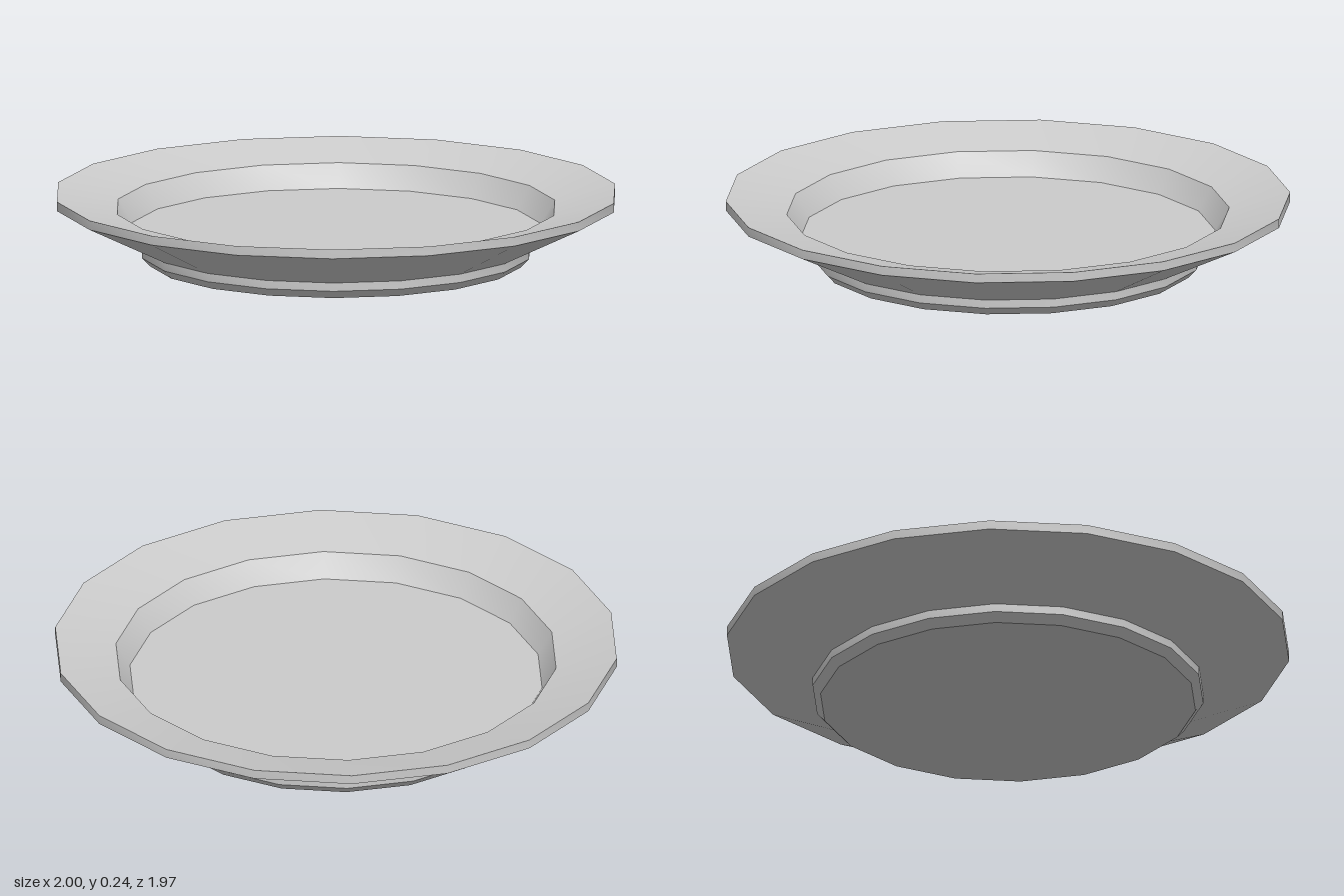
import * as THREE from 'three';
import { toCreasedNormals } from 'three/addons/utils/BufferGeometryUtils.js';

const SIDES = 18;

export function createModel() {
  const group = new THREE.Group();
  group.name = 'plate';
  const material = new THREE.MeshStandardMaterial({ color: 0xcccccc });

  // Turns a profile of [radius, height] points; a corner lies on the x axis
  const turned = (name, profile) => {
    const points = profile.map(([r, y]) => new THREE.Vector2(r, y));
    const lathe = new THREE.LatheGeometry(points, SIDES, Math.PI / 2);
    const mesh = new THREE.Mesh(toCreasedNormals(lathe, 0.5), material);
    mesh.name = name;
    group.add(mesh);
  };

  // Chamfered foot with a closed base
  turned('foot', [[0, 0], [0.667, 0], [0.695, 0.03], [0.695, 0.06]]);

  // Flared underside, upright edge and rim sloping down to the well
  turned('rim', [[0.695, 0.06], [1, 0.21], [1, 0.243], [0.784, 0.191]]);

  // Sunken well with a flat floor
  turned('well', [[0.784, 0.191], [0.734, 0.108], [0, 0.108]]);

  return group;
}
